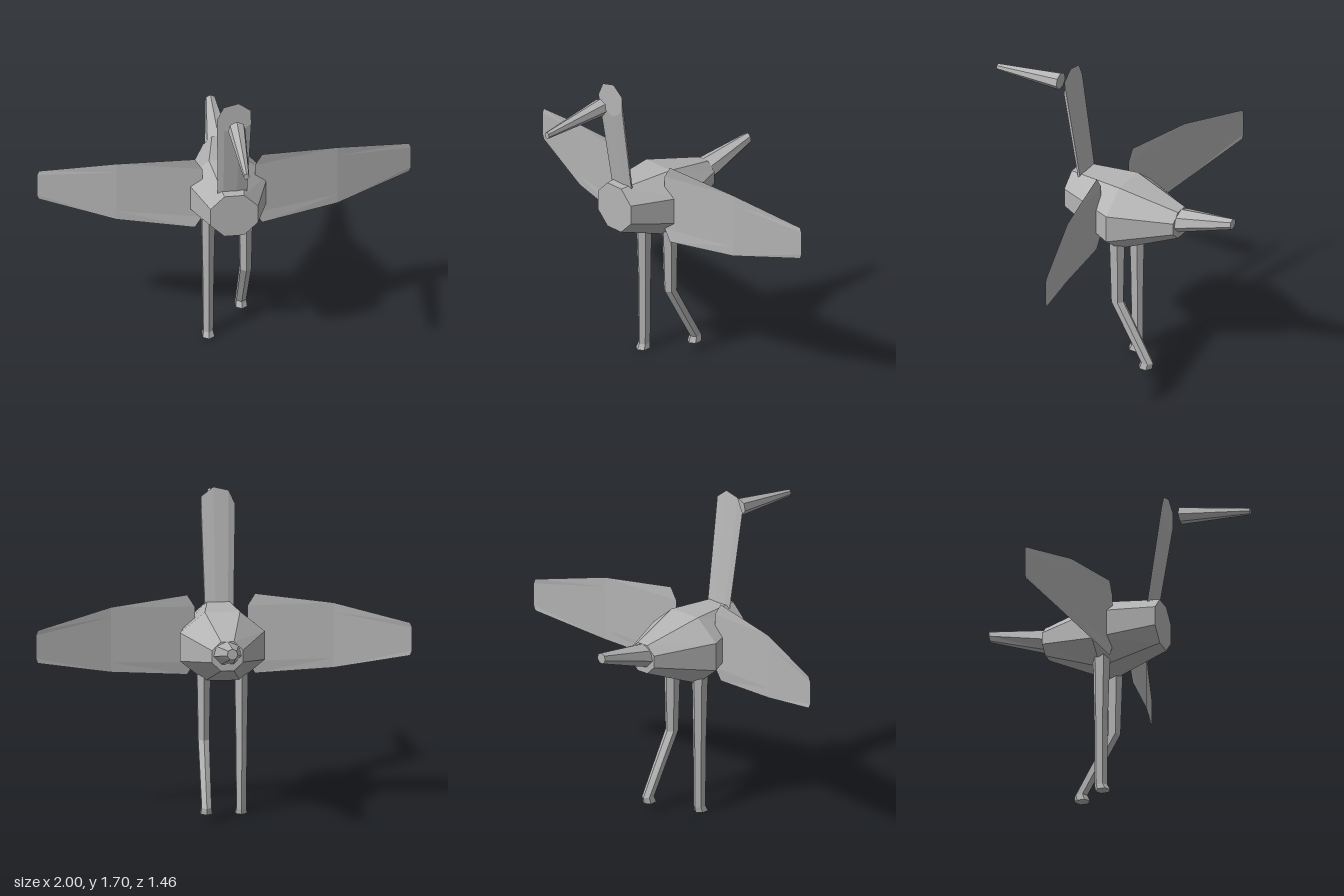
import * as THREE from 'three';

const grey = new THREE.MeshStandardMaterial({ color: 0xb4b4b4, flatShading: true });
grey.name = 'plainGrey';
const wingGrey = grey.clone();
wingGrey.name = 'plainGreyTwoSided';
wingGrey.side = THREE.DoubleSide;

// Upright ring facing +z
function ringZ(y, z, rx, ry, sides, start) {
  return Array.from({ length: sides }, (_, i) => {
    const a = start + (i / sides) * Math.PI * 2;
    return [rx * Math.cos(a), y + ry * Math.sin(a), z];
  });
}

// Level ring facing +y
function ringY(x, y, z, rx, rz, sides = 6) {
  return Array.from({ length: sides }, (_, i) => {
    const a = ((i + 0.5) / sides) * Math.PI * 2;
    return [x + rx * Math.cos(a), y, z - rz * Math.sin(a)];
  });
}

// Closed faceted skin through rings ordered along their facing direction
function loft(name, rings) {
  const n = rings[0].length, last = rings.length - 1, index = [];
  for (let r = 0; r < last; r++) {
    for (let i = 0; i < n; i++) {
      const j = (i + 1) % n, a = r * n, b = a + n;
      index.push(a + i, a + j, b + j, a + i, b + j, b + i);
    }
  }
  for (let i = 1; i < n - 1; i++) {
    index.push(0, i + 1, i, last * n, last * n + i, last * n + i + 1);
  }
  return build(name, rings.flat(2), index, grey);
}

function build(name, points, index, material) {
  const indexed = new THREE.BufferGeometry();
  indexed.setAttribute('position', new THREE.Float32BufferAttribute(points, 3));
  indexed.setIndex(index);
  const geometry = indexed.toNonIndexed();
  geometry.computeVertexNormals();
  const mesh = new THREE.Mesh(geometry, material);
  mesh.name = name;
  return mesh;
}

// Thin swept-back wing: columns of [edge x, middle x, half height, z]
function wing(name, side) {
  const columns = [
    [0.18, 0.14, 0.218, 0.005],
    [0.59, 0.59, 0.178, -0.065],
    [0.988, 0.999, 0.09, -0.18],
  ];
  const rows = [-1, -0.7, 0.7, 1];
  const points = [], index = [];
  columns.forEach(([edge, middle, half, z]) => rows.forEach((t) => {
    points.push(side * (Math.abs(t) === 1 ? edge : middle), 0.962 + half * t, z);
  }));
  for (let c = 0; c < 2; c++) {
    for (let r = 0; r < 3; r++) {
      const a = c * 4 + r, b = a + 4;
      if (side > 0) index.push(a, b, b + 1, a, b + 1, a + 1);
      else index.push(a, b + 1, b, a, a + 1, b + 1);
    }
  }
  return build(name, points, index, wingGrey);
}

export function createModel() {
  const model = new THREE.Group();
  model.name = 'wadingBird';
  const top = Math.PI / 2, eighth = Math.PI / 8;
  const oct = 1 / Math.cos(eighth); // flat-to-flat half width into corner radius

  // Eight-sided body, from rump to chest
  model.add(loft('body', [
    ringZ(0.95, -0.41, 0.083 * oct, 0.08 * oct, 8, eighth),
    ringZ(0.918, -0.08, 0.225 * oct, 0.188 * oct, 8, eighth),
    ringZ(0.962, 0.24, 0.127 * oct, 0.127 * oct, 8, eighth),
  ]));

  // Flattened neck with a slanted, seven-sided head end
  model.add(loft('neck', [
    ringZ(0.945, 0.16, 0.078, 0.076, 7, 0.464),
    ringZ(1.605, 0.265, 0.096, 0.096, 7, 0.464),
  ]));

  // Tapered tail and beak
  model.add(loft('tail', [
    ringZ(1.045, -0.73, 0.029, 0.031, 7, top),
    ringZ(0.965, -0.405, 0.076, 0.066, 7, top),
  ]));
  model.add(loft('beak', [
    ringZ(1.587, 0.34, 0.047, 0.048, 7, top),
    ringZ(1.55, 0.73, 0.016, 0.019, 7, top),
  ]));

  model.add(wing('leftWing', 1), wing('rightWing', -1));

  // Standing leg and raised, bent leg, each from sole to hip
  model.add(loft('rightLeg', [
    ringY(-0.1, 0, -0.062, 0.036, 0.041),
    ringY(-0.1, 0.03, -0.073, 0.03, 0.036),
    ringY(-0.1, 0.41, -0.073, 0.034, 0.038),
    ringY(-0.1, 0.78, -0.07, 0.041, 0.048),
  ]));
  model.add(loft('leftLeg', [
    ringY(0.1, 0.05, -0.248, 0.036, 0.041),
    ringY(0.1, 0.085, -0.258, 0.03, 0.037),
    ringY(0.1, 0.41, -0.073, 0.034, 0.038),
    ringY(0.1, 0.78, -0.07, 0.041, 0.048),
  ]));

  return model;
}
